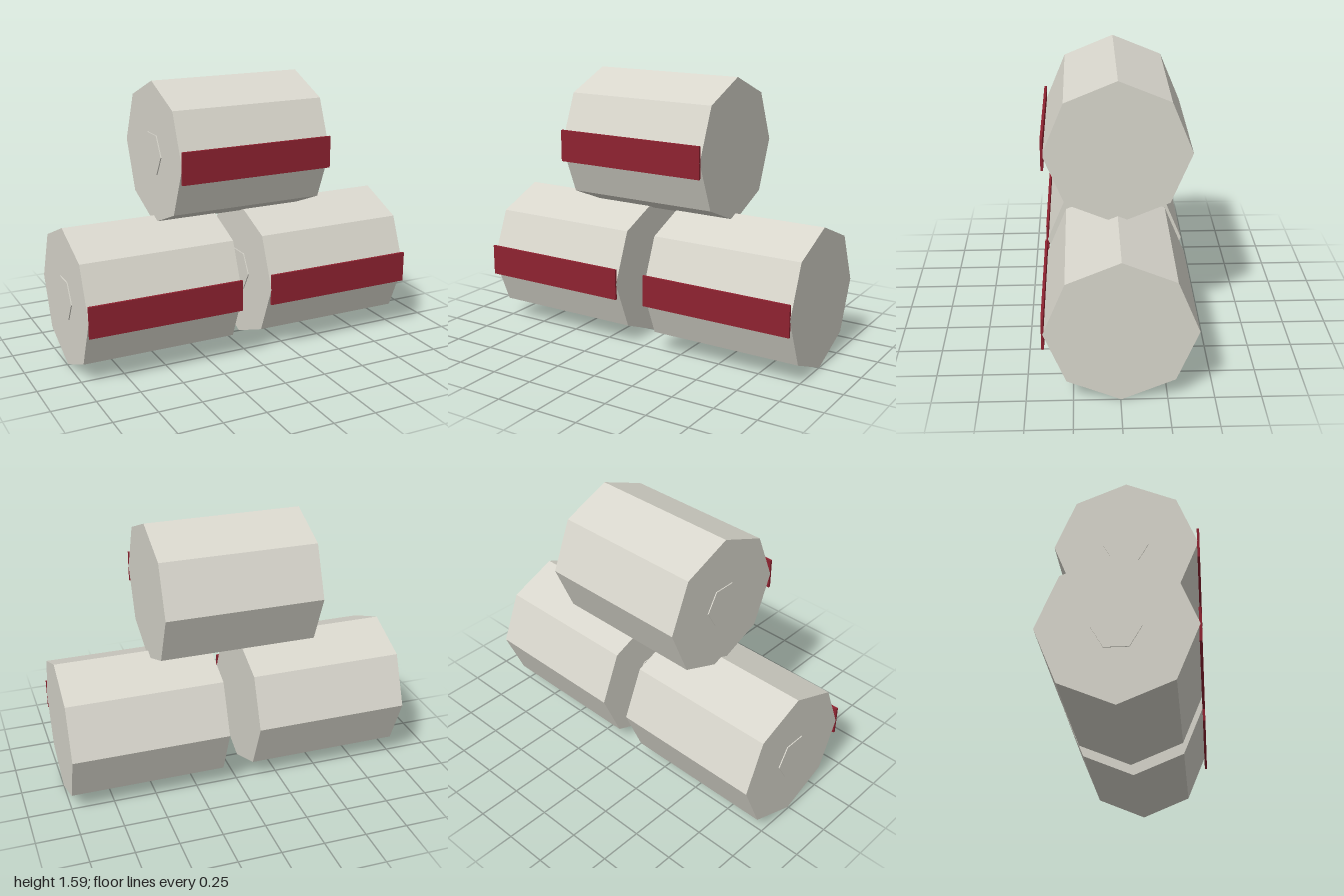
import * as THREE from 'three';

const RADIUS = 0.407;
const LENGTH = 0.905;

export function createModel() {
  const model = new THREE.Group();
  model.name = 'stackedBales';

  const wrap = new THREE.MeshStandardMaterial({ color: 0xd8d6cc, flatShading: true });
  wrap.name = 'pale wrap';
  const red = new THREE.MeshStandardMaterial({ color: 0x8f2230, flatShading: true });
  red.name = 'dark red';

  // Octagonal roll lying along x, with a point facing straight up
  const rollGeometry = new THREE.CylinderGeometry(RADIUS, RADIUS, LENGTH, 8).rotateZ(Math.PI / 2);
  // Thin hexagonal core cap on the -x end
  const capGeometry = new THREE.CylinderGeometry(0.128, 0.128, 0.012, 6).rotateZ(Math.PI / 2);
  // Flat strip along the front edge
  const stripGeometry = new THREE.BoxGeometry(LENGTH, 0.18, 0.014);

  function addPart(parent, name, geometry, material, x, y, z) {
    const mesh = new THREE.Mesh(geometry, material);
    mesh.name = name;
    mesh.position.set(x, y, z);
    parent.add(mesh);
  }

  function addBale(name, x, y) {
    const bale = new THREE.Group();
    bale.name = name;
    bale.position.set(x, y, -0.003);
    addPart(bale, 'roll', rollGeometry, wrap, 0, 0, 0);
    addPart(bale, 'endCap', capGeometry, wrap, -LENGTH / 2, 0, 0);
    addPart(bale, 'frontStrip', stripGeometry, red, 0, 0, 0.407);
    model.add(bale);
  }

  // Two bales below, one resting on top
  addBale('lowerRightBale', -0.542, RADIUS);
  addBale('lowerLeftBale', 0.548, RADIUS);
  addBale('upperBale', 0.003, 1.178);

  return model;
}
